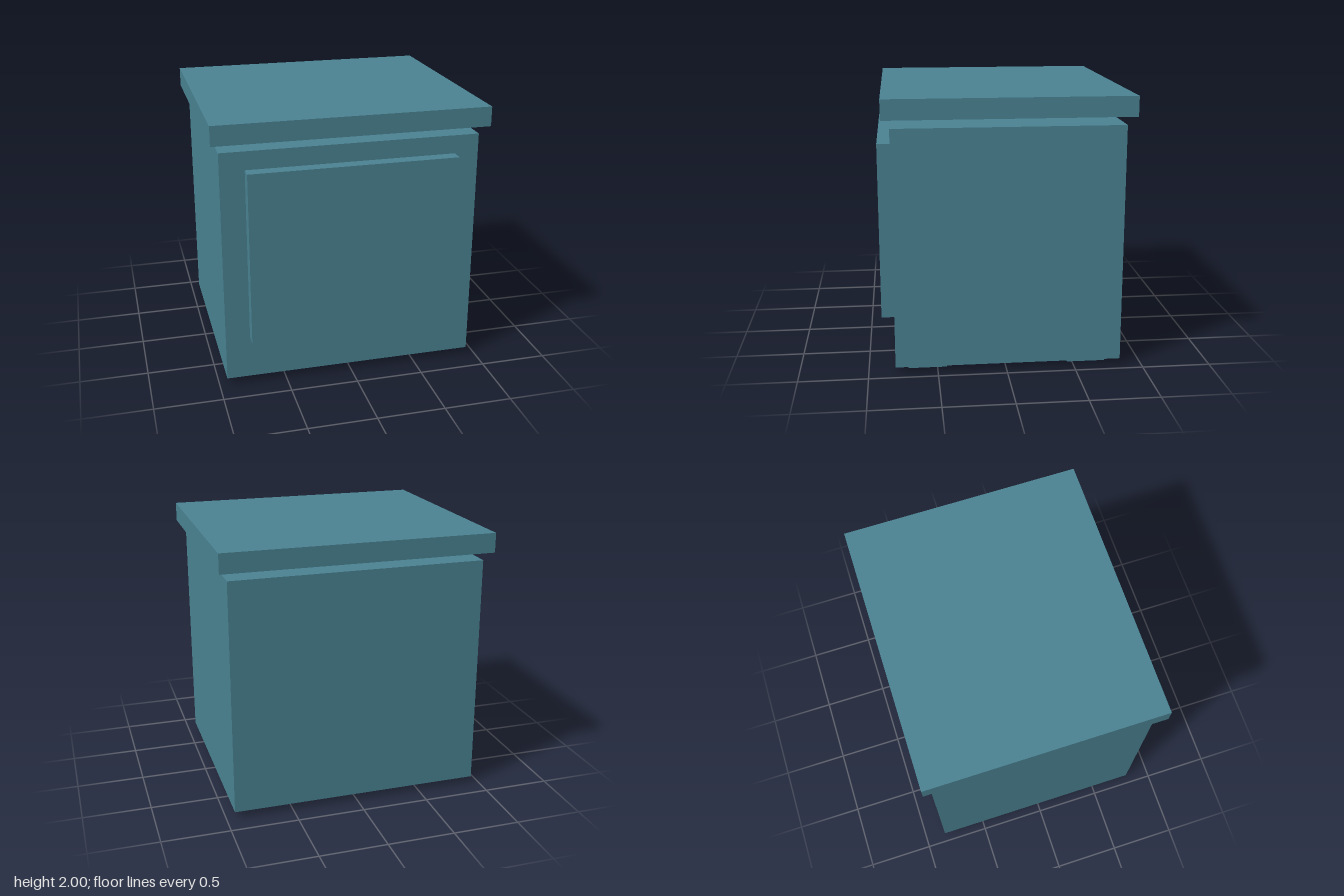
import * as THREE from 'three';

export function createModel() {
  const model = new THREE.Group();
  model.name = 'cabinet';

  const teal = new THREE.MeshStandardMaterial({ color: 0x4b8494 });
  teal.name = 'teal';

  // Box given by its extents along each axis
  function box(name, [x0, x1], [y0, y1], [z0, z1]) {
    const mesh = new THREE.Mesh(new THREE.BoxGeometry(x1 - x0, y1 - y0, z1 - z0), teal);
    mesh.position.set((x0 + x1) / 2, (y0 + y1) / 2, (z0 + z1) / 2);
    mesh.name = name;
    model.add(mesh);
  }

  // Main body, floating lid and front door panel
  box('body', [-0.942, 0.937], [0.05, 1.79], [-0.84, 0.806]);
  box('lid', [-1, 1], [1.856, 2], [-0.9, 0.865]);
  box('door', [-0.764, 0.76], [0.37, 1.655], [0.806, 0.9]);

  // Four low square feet
  for (const [side, x] of [['Right', [-0.848, -0.566]], ['Left', [0.562, 0.844]]]) {
    for (const [end, z] of [['front', [0.432, 0.714]], ['back', [-0.746, -0.464]]]) {
      box(`${end}${side}Foot`, x, [0, 0.05], z);
    }
  }

  return model;
}
